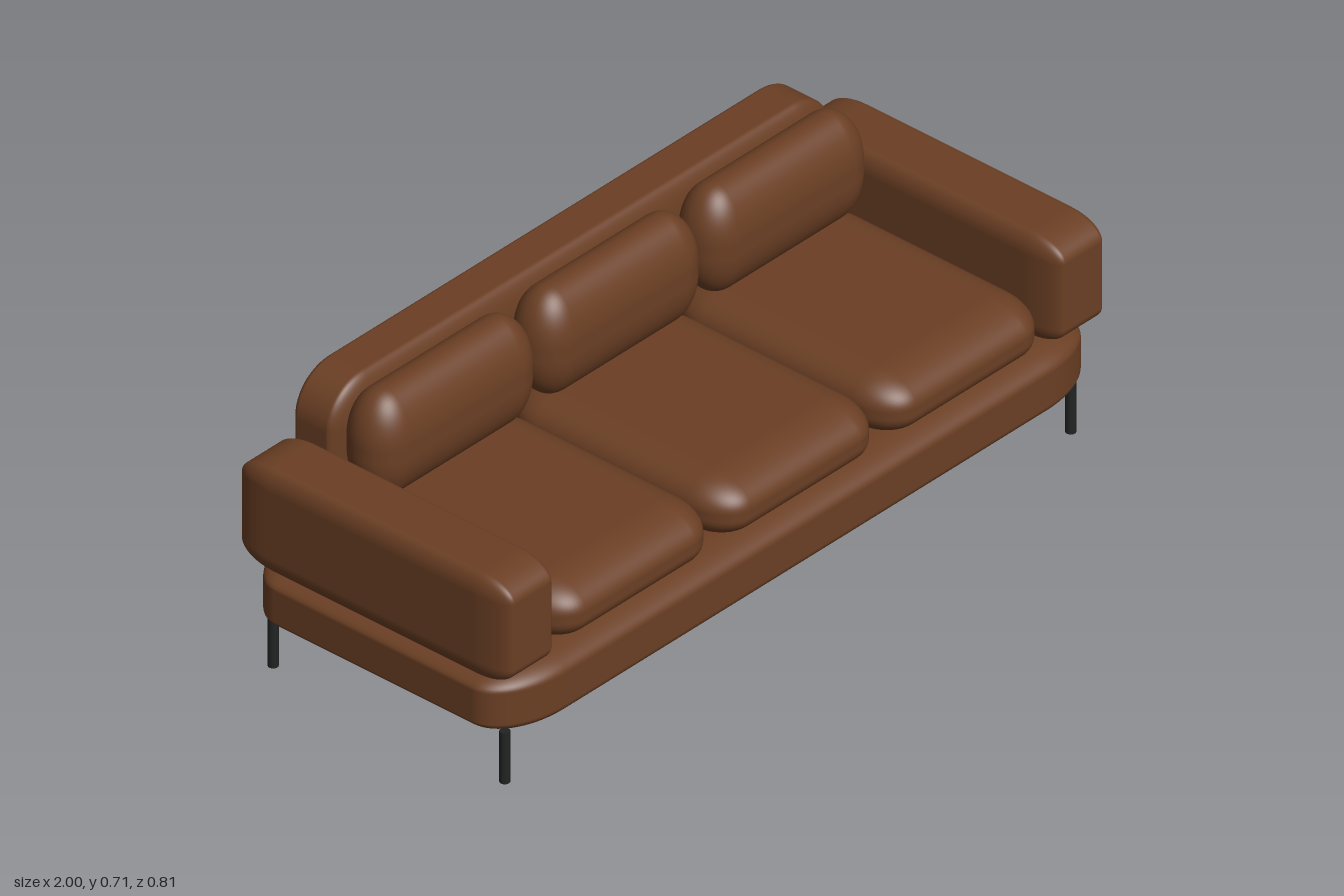
import * as THREE from 'three';
import { RoundedBoxGeometry } from 'three/addons/geometries/RoundedBoxGeometry.js';

// Soft box between two corners, with a separate rounding radius for each axis
function softBox(min, max, radii) {
  const size = max.map((v, i) => v - min[i]);
  const g = new RoundedBoxGeometry(size[0] / radii[0], size[1] / radii[1], size[2] / radii[2], 8, 1);
  g.scale(...radii);
  g.translate(...max.map((v, i) => (v + min[i]) / 2));
  return g;
}

export function createModel() {
  const sofa = new THREE.Group();
  sofa.name = 'sofa';

  const leather = new THREE.MeshStandardMaterial({ color: 0x6b3f24 });
  leather.name = 'brown leather';
  const metal = new THREE.MeshStandardMaterial({ color: 0x222424 });
  metal.name = 'black metal';

  const add = (name, geometry, material = leather) => {
    const mesh = new THREE.Mesh(geometry, material);
    mesh.name = name;
    sofa.add(mesh);
    return mesh;
  };

  // Base and backrest
  add('base', softBox([-0.99, 0.12, -0.405], [0.99, 0.292, 0.405], [0.19, 0.045, 0.11]));
  add('backrest', softBox([-0.83, 0.28, -0.405], [0.83, 0.704, -0.25], [0.12, 0.11, 0.035]));

  // Armrests and legs, mirrored
  for (const side of [-1, 1]) {
    const label = side > 0 ? 'left' : 'right';
    const arm = softBox([-0.088, 0.288, -0.405], [0.088, 0.563, 0.405], [0.03, 0.05, 0.1]);
    arm.translate(side * 0.912, 0, 0);
    add(label + 'Armrest', arm);

    for (const end of [-1, 1]) {
      const leg = new THREE.CylinderGeometry(0.0125, 0.0125, 0.135, 16);
      leg.translate(side * 0.937, 0.0675, end * 0.345);
      add(label + (end > 0 ? 'FrontLeg' : 'BackLeg'), leg, metal);
    }
  }

  // Three seat cushions, each with a back pillow
  ['right', 'middle', 'left'].forEach((label, i) => {
    const x = (i - 1) * 0.548;
    add(label + 'SeatCushion',
      softBox([x - 0.27, 0.288, -0.29], [x + 0.27, 0.437, 0.4], [0.09, 0.065, 0.12]));
    add(label + 'BackPillow',
      softBox([x - 0.27, 0.428, -0.28], [x + 0.27, 0.708, -0.118], [0.085, 0.125, 0.08]));
  });

  return sofa;
}
